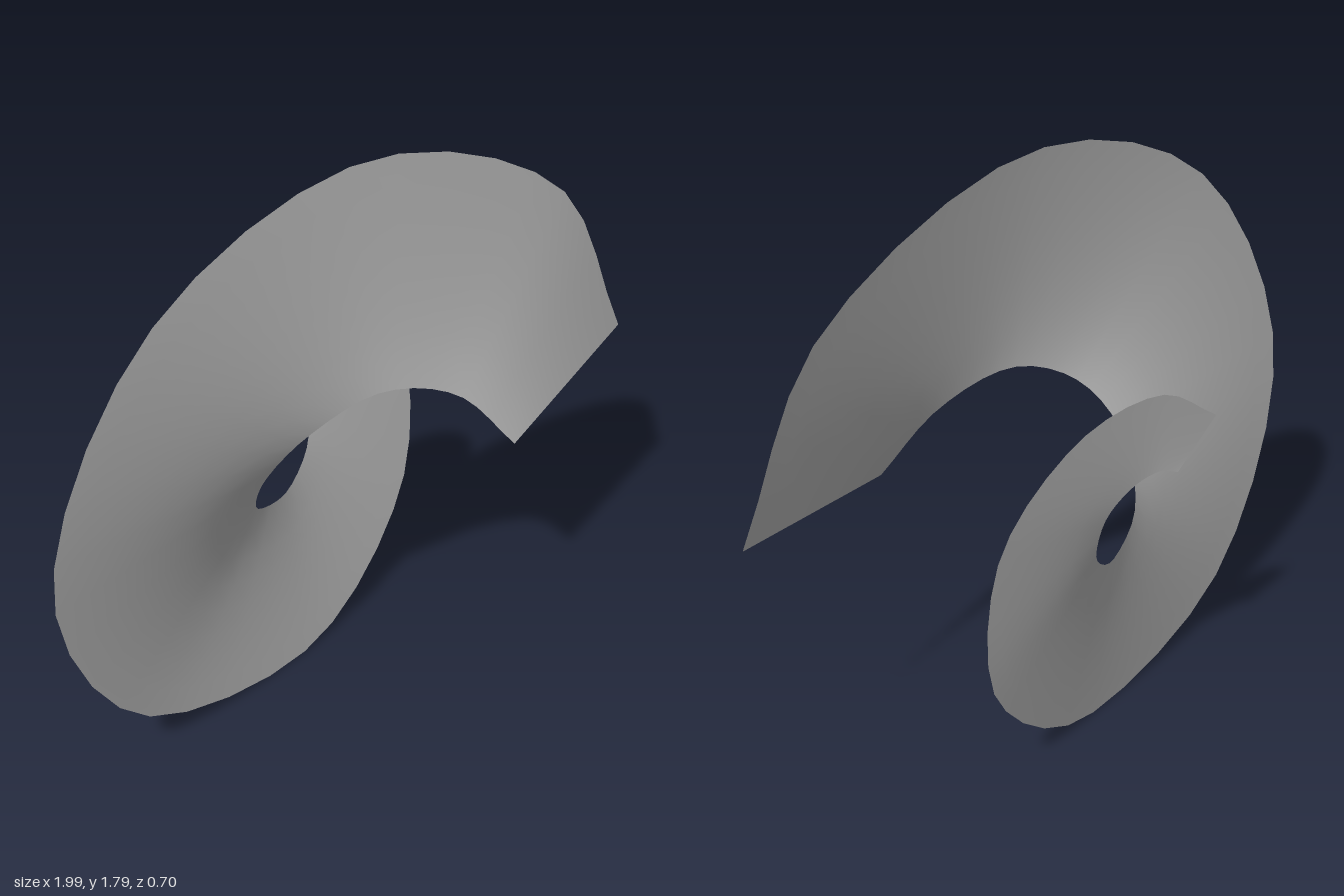
import * as THREE from 'three';

const TURNS = 48; // steps along the spiral
const RINGS = 8;  // steps across the ribbon

// smooth edge curve through [x, y, z] points about 45 degrees apart
const edge = (points) =>
  new THREE.CatmullRomCurve3(points.map((p) => new THREE.Vector3(...p)), false, 'catmullrom', 0.5);

export function createModel() {
  const group = new THREE.Group();
  group.name = 'spiralSurface';

  const grey = new THREE.MeshStandardMaterial({ color: 0xb3b3b3, side: THREE.DoubleSide });
  grey.name = 'grey';

  // outer rim, winding from front to back while it shrinks
  const outer = edge([
    [0.995, 0.955, 0.21], [0.71, 1.52, 0.16], [0, 1.81, 0.107], [-0.68, 1.55, 0.055],
    [-1, 0.865, 0], [-0.7, 0.205, -0.055], [0, 0.025, -0.115], [0.46, 0.37, -0.19],
    [0.515, 0.88, -0.25], [0.28, 1.165, -0.3], [-0.03, 1.215, -0.333], [-0.26, 1.07, -0.355],
  ]);
  // inner rim around the central hole
  const inner = edge([
    [0.385, 0.865, 0.35], [0.235, 1.055, 0.26], [0.01, 1.13, 0.185], [-0.185, 1.04, 0.105],
    [-0.268, 0.865, 0], [-0.21, 0.68, -0.105], [-0.03, 0.614, -0.18], [0.105, 0.705, -0.235],
    [0.118, 0.855, -0.278], [0.045, 0.94, -0.307], [-0.045, 0.965, -0.328], [-0.115, 0.94, -0.342],
  ]);

  // straight rulings joining the two rims
  const positions = [];
  const indices = [];
  const point = new THREE.Vector3();
  for (let i = 0; i <= TURNS; i++) {
    const a = inner.getPoint(i / TURNS);
    const b = outer.getPoint(i / TURNS);
    for (let j = 0; j <= RINGS; j++) {
      point.lerpVectors(a, b, j / RINGS);
      positions.push(point.x, point.y, point.z);
      if (i < TURNS && j < RINGS) {
        const k = i * (RINGS + 1) + j;
        const n = k + RINGS + 1;
        indices.push(k, k + 1, n + 1, k, n + 1, n);
      }
    }
  }
  const geometry = new THREE.BufferGeometry();
  geometry.setAttribute('position', new THREE.Float32BufferAttribute(positions, 3));
  geometry.setIndex(indices);
  geometry.computeVertexNormals();

  const ribbon = new THREE.Mesh(geometry, grey);
  ribbon.name = 'spiralRibbon';
  group.add(ribbon);
  return group;
}
